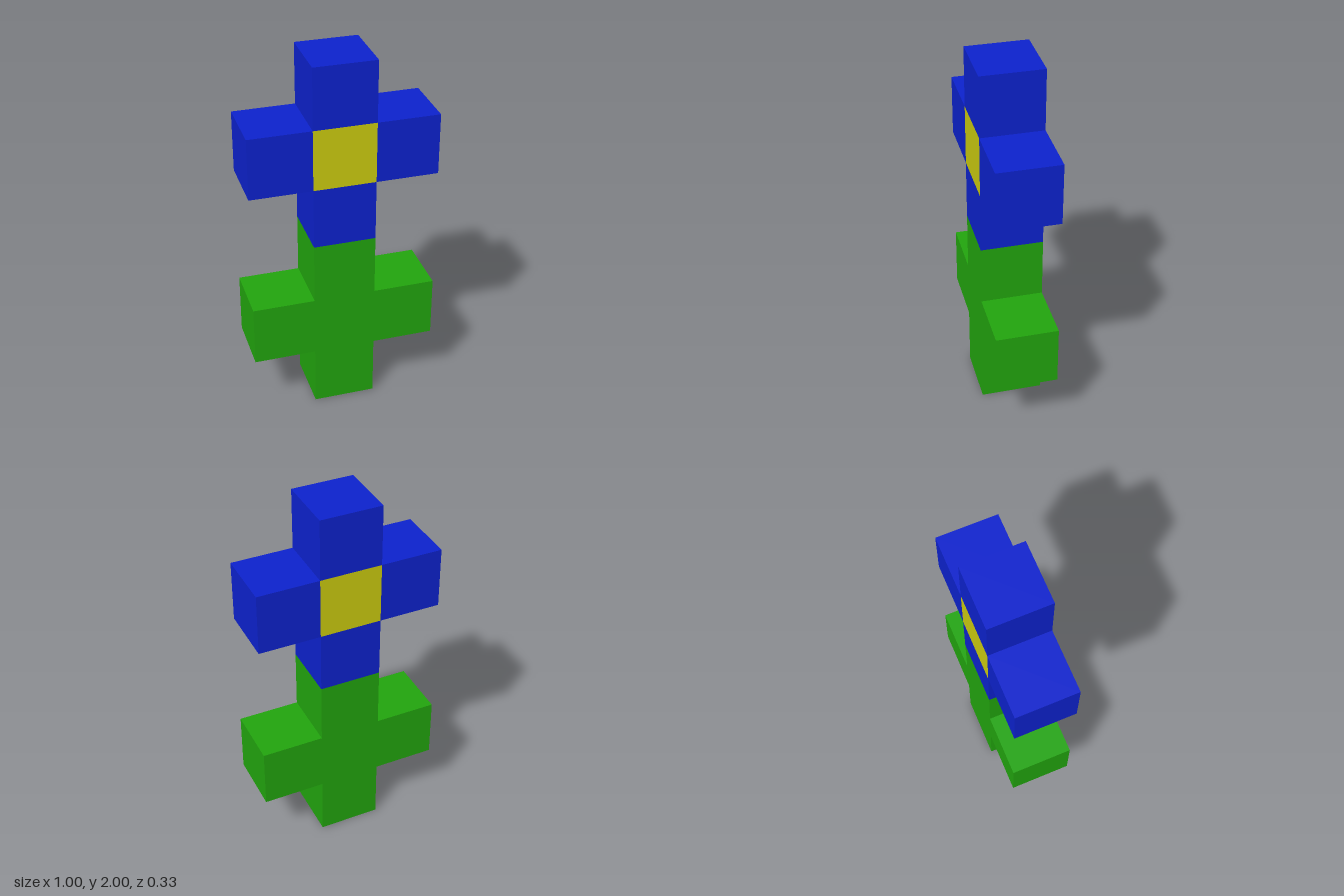
import * as THREE from 'three';

const U = 1 / 3; // edge length of one block

function material(name, color) {
  const m = new THREE.MeshStandardMaterial({ color });
  m.name = name;
  return m;
}

export function createModel() {
  const green = material('leafGreen', 0x22a50e);
  const blue = material('petalBlue', 0x0d22ce);
  const yellow = material('centreYellow', 0xcbcb0f);

  const flower = new THREE.Group();
  flower.name = 'blockFlower';

  const add = (parent, name, geometry, mat, x, y, z = 0) => {
    const mesh = new THREE.Mesh(geometry, mat);
    mesh.name = name;
    mesh.position.set(x, y, z);
    parent.add(mesh);
  };

  // Stem with two side leaves: one cross-shaped slab
  const a = U / 2, b = U * 1.5;
  const cross = new THREE.Shape([
    [-a, -b], [a, -b], [a, -a], [b, -a], [b, a], [a, a],
    [a, b], [-a, b], [-a, a], [-b, a], [-b, -a], [-a, -a],
  ].map(([x, y]) => new THREE.Vector2(x, y)));
  const stem = new THREE.ExtrudeGeometry(cross, { depth: U, bevelEnabled: false });
  add(flower, 'stemAndLeaves', stem, green, 0, b, -a);

  // Blossom: a yellow centre with four petals around it
  const blossom = new THREE.Group();
  blossom.name = 'blossom';
  blossom.position.y = U * 4.5;
  flower.add(blossom);
  const block = new THREE.BoxGeometry(U, U, U);
  add(blossom, 'centre', block, yellow, 0, 0);
  for (const [name, x, y] of [
    ['topPetal', 0, U], ['bottomPetal', 0, -U], ['leftPetal', U, 0], ['rightPetal', -U, 0],
  ]) add(blossom, name, block, blue, x, y);

  return flower;
}
